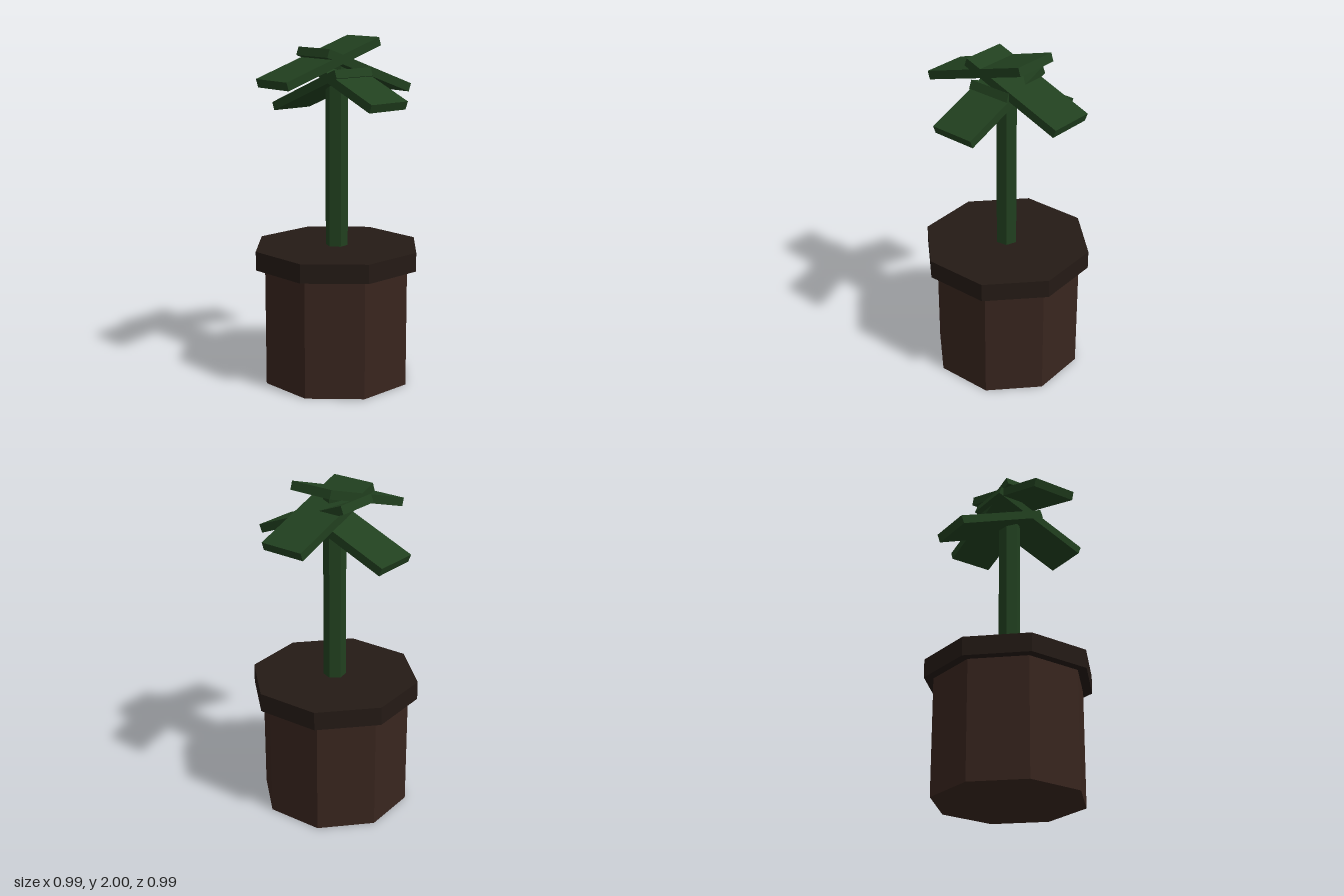
import * as THREE from 'three';

const material = (color) => new THREE.MeshStandardMaterial({ color, flatShading: true });

export function createModel() {
  const model = new THREE.Group();
  model.name = 'pottedPlant';
  const clay = material(0x38251e);
  const darkClay = material(0x241a15);
  const green = material(0x21401f);

  // Upright prism between two heights
  function prism(name, radius, sides, bottom, top, mat) {
    const mesh = new THREE.Mesh(new THREE.CylinderGeometry(radius, radius, top - bottom, sides), mat);
    mesh.name = name;
    mesh.position.y = (bottom + top) / 2;
    model.add(mesh);
  }
  prism('pot', 0.44, 8, 0, 0.69, clay);
  prism('potRim', 0.495, 8, 0.69, 0.8, darkClay);
  prism('stem', 0.065, 6, 0.8, 1.89, green);

  // Plank leaves that droop outward and cross over the stem:
  // heading, inner and outer reach, lowest and highest point, droop in degrees
  const thickness = 0.05;
  const leaves = [
    ['leftLeaf', 20, -0.185, 0.458, 1.675, 1.95, 20],
    ['backLeaf', 110, -0.155, 0.425, 1.56, 1.835, 22],
    ['rightLeaf', 200, -0.215, 0.471, 1.74, 2.0, 17.7],
    ['frontLeaf', 290, -0.165, 0.44, 1.62, 1.9, 21.5],
  ];
  for (const [name, heading, inner, outer, low, high, droop] of leaves) {
    const tilt = THREE.MathUtils.degToRad(droop);
    const length = (outer - inner - thickness * Math.sin(tilt)) / Math.cos(tilt);
    const blade = new THREE.Mesh(new THREE.BoxGeometry(length, thickness, 0.27), green);
    blade.name = name + 'Blade';
    blade.position.set((inner + outer) / 2, (low + high) / 2, 0);
    blade.rotation.z = -tilt;
    const leaf = new THREE.Group();
    leaf.name = name;
    leaf.rotation.y = THREE.MathUtils.degToRad(heading);
    leaf.add(blade);
    model.add(leaf);
  }
  return model;
}
